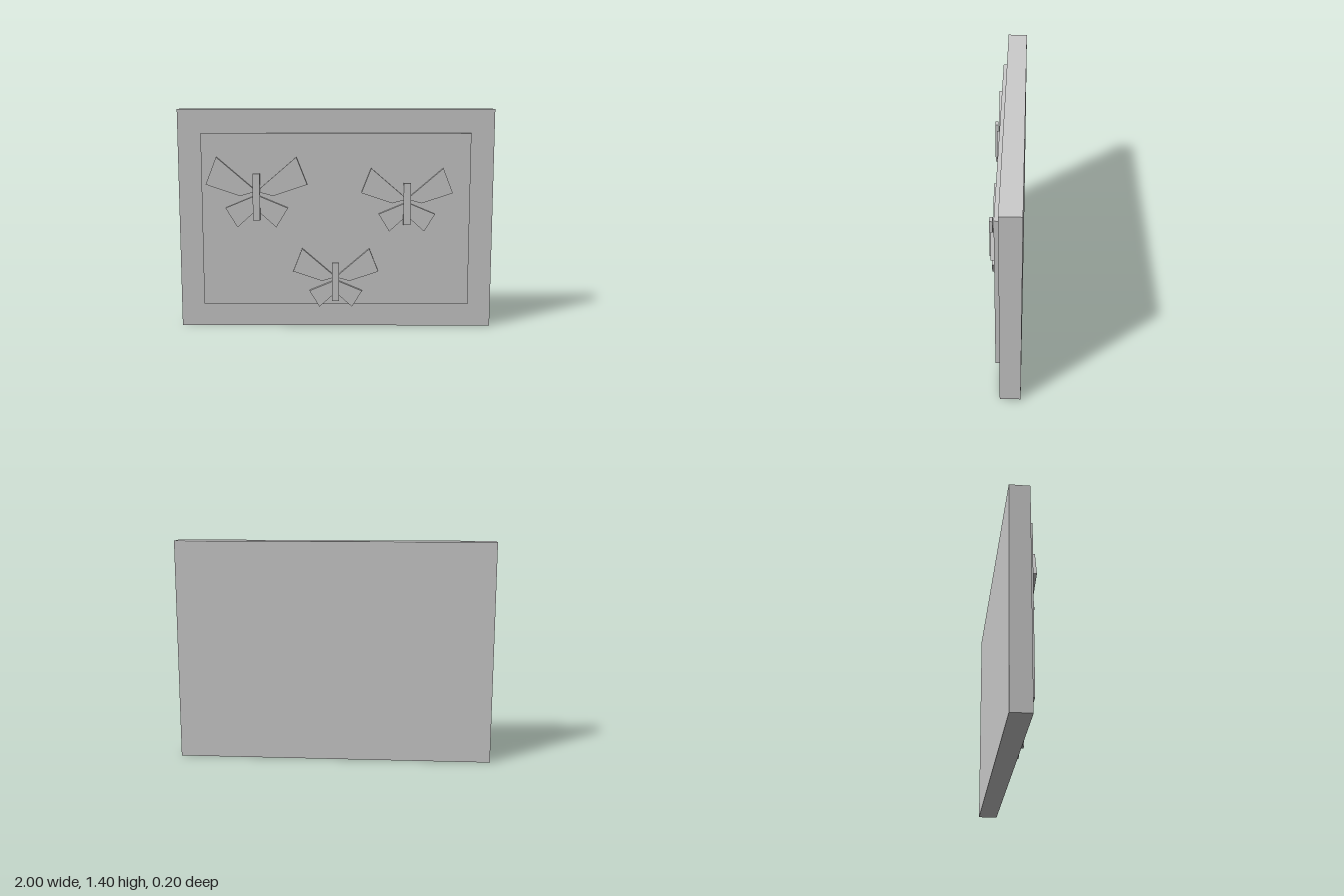
import * as THREE from 'three';

export function createModel() {
  const model = new THREE.Group();
  model.name = 'butterflyPlaque';
  const grey = new THREE.MeshStandardMaterial({ color: 0xcccccc });
  grey.name = 'lightGrey';

  // Box given by its size, centre height and front/back depth
  const slab = (name, w, h, x, y, z0, z1) => {
    const mesh = new THREE.Mesh(new THREE.BoxGeometry(w, h, z1 - z0), grey);
    mesh.name = name;
    mesh.position.set(x, y, (z0 + z1) / 2);
    return mesh;
  };

  // Backing board and raised panel
  model.add(slab('backBoard', 2, 1.4, 0, 0.7, -0.1, 0.025));
  model.add(slab('raisedPanel', 1.7, 1.1, 0, 0.7, 0.025, 0.055));

  // Wing outlines relative to the butterfly centre, for its left side
  const wings = {
    UpperWing: [[0, 0.033], [0.104, 0.004], [0.32, 0.077], [0.252, 0.25]],
    LowerWing: [[0, 0.01], [0, -0.085], [0.123, -0.196], [0.198, -0.073]],
  };
  const wing = (name, points, side, s) => {
    const outline = points.map(([x, y]) => new THREE.Vector2(x * side * s, y * s));
    const geometry = new THREE.ExtrudeGeometry(new THREE.Shape(outline), { depth: 0.025, bevelEnabled: false });
    const mesh = new THREE.Mesh(geometry, grey);
    mesh.name = name;
    mesh.position.z = 0.055;
    return mesh;
  };

  // Three butterflies of decreasing size: x, y, scale
  [[-0.5, 0.852, 1], [0.45, 0.807, 0.9], [0, 0.305, 0.85]].forEach(([x, y, s], i) => {
    const butterfly = new THREE.Group();
    butterfly.name = `butterfly${i + 1}`;
    butterfly.position.set(x, y, 0);
    for (const [name, points] of Object.entries(wings)) {
      butterfly.add(wing(`left${name}`, points, 1, s), wing(`right${name}`, points, -1, s));
    }
    butterfly.add(slab('body', 0.045, 0.295 * s, 0, 0, 0.08, 0.1));
    model.add(butterfly);
  });

  return model;
}
